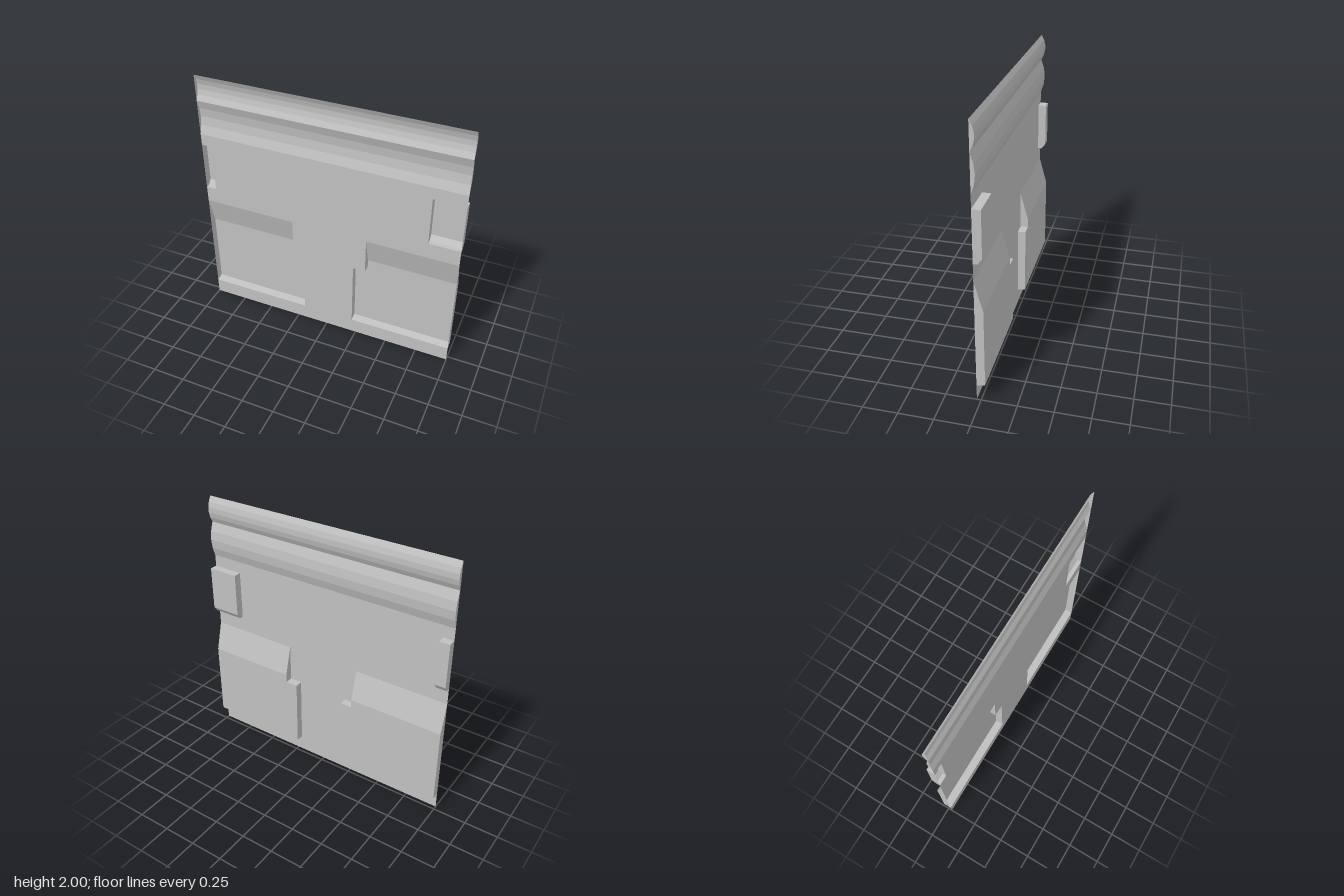
import * as THREE from 'three';

const FRONT = 0.03, BACK = -0.03;

// Pressed trough: a [y, z] profile (top to bottom) swept from x0 to x1, with flat ends
function trough(x0, x1, profile) {
  const pos = [];
  const tri = (...pts) => pts.forEach(p => pos.push(...p));
  for (let i = 0; i < profile.length - 1; i++) {
    const [ya, za] = profile[i], [yb, zb] = profile[i + 1];
    tri([x0, ya, za], [x0, yb, zb], [x1, yb, zb]);
    tri([x0, ya, za], [x1, yb, zb], [x1, ya, za]);
  }
  const at = (x, i) => [x, ...profile[i]];
  for (let i = 1; i < profile.length - 1; i++) {
    tri(at(x0, 0), at(x0, i + 1), at(x0, i));
    tri(at(x1, 0), at(x1, i), at(x1, i + 1));
  }
  const g = new THREE.BufferGeometry();
  g.setAttribute('position', new THREE.Float32BufferAttribute(pos, 3));
  g.computeVertexNormals();
  return g;
}

// Shallow arc profile between two heights
function arcProfile(top, bottom, segments) {
  const peak = segments % 2 ? 1 - 1 / (segments * segments) : 1;
  return Array.from({ length: segments + 1 }, (_, i) => {
    const t = i / segments;
    return [top + (bottom - top) * t, FRONT - 0.03 * 4 * t * (1 - t) / peak];
  });
}

export function createModel() {
  const group = new THREE.Group();
  const grey = new THREE.MeshStandardMaterial({ color: 0xc0c0c0, side: THREE.DoubleSide });
  grey.name = 'panel grey';
  const add = (name, geometry) => {
    const mesh = new THREE.Mesh(geometry, grey);
    mesh.name = name;
    group.add(mesh);
    return mesh;
  };

  // Flat sheet, notched where the pockets open
  const outline = [
    [-1, 0], [1, 0], [1, 0.12], [0.215, 0.12], [0.215, 0.655], [0.31, 0.655],
    [0.31, 0.94], [1, 0.94], [1, 1.065], [0.765, 1.065], [0.765, 1.44], [1, 1.44],
    [1, 1.53], [-1, 1.53], [-1, 1.44], [-0.92, 1.44], [-0.92, 1.065], [-1, 1.065],
    [-1, 0.94], [-0.28, 0.94], [-0.28, 0.655], [-0.19, 0.655], [-0.19, 0.12], [-1, 0.12],
  ];
  const shape = new THREE.Shape(outline.map(([x, y]) => new THREE.Vector2(x, y)));
  add('flatSheet', new THREE.ShapeGeometry(shape)).position.z = FRONT;

  // Two curved flutes along the top
  add('upperFlute', trough(-1, 1, arcProfile(2, 1.8, 5)));
  add('lowerFlute', trough(-1, 1, arcProfile(1.8, 1.53, 4)));

  // Small pockets at the side edges
  const small = [[1.44, FRONT], [1.44, BACK], [1.105, BACK], [1.065, 0], [1.065, FRONT]];
  add('rightSmallPocket', trough(-1, -0.92, small));
  add('leftSmallPocket', trough(0.765, 1, small));

  // Large pockets: narrow sloped top, wider body, joined by a step
  const slopeAt = FRONT + (BACK - FRONT);
  const slope = [[0.94, FRONT], [0.72, slopeAt], [0.655, BACK], [0.655, FRONT]];
  const body = [[0.655, FRONT], [0.655, BACK], [0.13, BACK], [0.12, FRONT]];
  const sides = [
    { name: 'right', slope: [-1, -0.28], body: [-1, -0.19], step: [-0.28, -0.19] },
    { name: 'left', slope: [0.31, 1], body: [0.215, 1], step: [0.215, 0.31] },
  ];
  for (const s of sides) {
    // the last slope point only closes the end walls, so no shelf divides the pocket
    const top = trough(...s.slope, slope);
    const bottom = trough(...s.body, body);
    top.setAttribute('position', dropQuad(top, 2));
    bottom.setAttribute('position', dropQuad(bottom, 0));
    top.deleteAttribute('normal');
    bottom.deleteAttribute('normal');
    top.computeVertexNormals();
    bottom.computeVertexNormals();
    add(s.name + 'PocketSlope', top);
    add(s.name + 'PocketBody', bottom);

    const step = new THREE.PlaneGeometry(s.step[1] - s.step[0], FRONT - BACK);
    step.rotateX(Math.PI / 2);
    add(s.name + 'PocketStep', step).position.set((s.step[0] + s.step[1]) / 2, 0.655, 0);
  }
  return group;
}

// Removes one swept face (two triangles) from a trough
function dropQuad(geometry, index) {
  const a = Array.from(geometry.attributes.position.array);
  a.splice(index * 18, 18);
  return new THREE.Float32BufferAttribute(a, 3);
}
